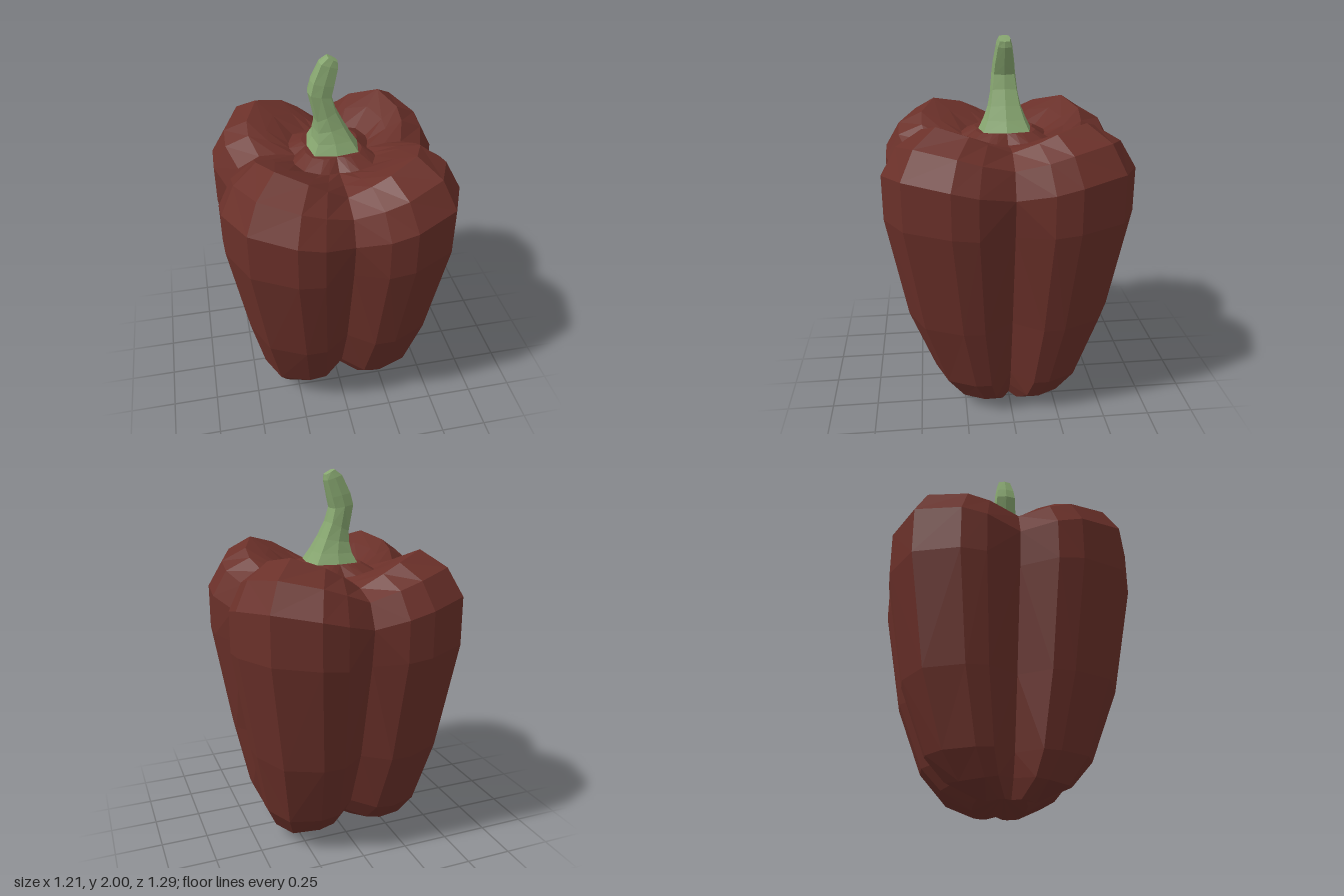
import * as THREE from 'three';

// Skin a stack of closed rings (bottom to top) and cap both ends with fans.
// The quad diagonals alternate by octant so the facets mirror across each lobe.
function loft(name, rings, bottom, top, color) {
  const n = rings[0].length, pos = [];
  const tri = (...pts) => pts.forEach(p => pos.push(...p));
  for (let j = 0; j < n; j++) {
    const k = (j + 1) % n;
    const flip = Math.floor(j * 8 / n) % 2;
    for (let i = 0; i < rings.length - 1; i++) {
      const lo = rings[i], hi = rings[i + 1];
      if (flip) {
        tri(lo[j], hi[j], hi[k]);
        tri(lo[j], hi[k], lo[k]);
      } else {
        tri(lo[j], hi[j], lo[k]);
        tri(lo[k], hi[j], hi[k]);
      }
    }
    const last = rings[rings.length - 1];
    tri(bottom, rings[0][j], rings[0][k]);
    tri(top, last[k], last[j]);
  }
  const geo = new THREE.BufferGeometry();
  geo.setAttribute('position', new THREE.Float32BufferAttribute(pos, 3));
  geo.computeVertexNormals();
  const mesh = new THREE.Mesh(geo, new THREE.MeshStandardMaterial({ color, flatShading: true }));
  mesh.name = name;
  return mesh;
}

// Quarter outline from the side groove to the front groove: x, z, lobe weight
const QUARTER = [
  [0.55, 0, 0], [0.605, 0.18, 0.42], [0.6, 0.31, 0.72], [0.5, 0.54, 1],
  [0.285, 0.643, 0.72], [0.155, 0.643, 0.42], [0, 0.595, 0],
];

// Four-lobed ring; lobes and grooves sit at different heights, and the
// groove line is pulled inwards by its own factor
function lobedRing([sx, sz, yLobe, ySide, yFront, groove]) {
  return Array.from({ length: 24 }, (_, k) => {
    const m = k % 12, q = m <= 6 ? m : 12 - m;
    const [x, z, w] = QUARTER[q];
    const yGroove = q < 3 ? ySide : yFront;
    const pull = w === 0 ? groove : 1;
    return [
      x * sx * pull * (k <= 6 || k >= 18 ? 1 : -1),
      yGroove + (yLobe - yGroove) * w,
      z * sz * pull * (k <= 12 ? 1 : -1),
    ];
  });
}

// Eight-sided stem ring spanning a left and a right edge point, so it can tilt
function stemRing([x0, y0, x1, y1, hz]) {
  return Array.from({ length: 8 }, (_, k) => {
    const a = k * Math.PI / 4, f = k % 2 ? 1.2 : 1;
    const c = Math.cos(a) * f, s = Math.sin(a) * f;
    return [(x0 + x1) / 2 + (x1 - x0) / 2 * c, (y0 + y1) / 2 + (y1 - y0) / 2 * c, hz * s];
  });
}

export function createModel() {
  const group = new THREE.Group();
  group.name = 'bellPepper';

  // Body: scale x, scale z, lobe height, side groove height, front groove height, groove pull
  const body = [
    [0.47, 0.22, 0, 0.01, 0.075, 0.9],
    [0.64, 0.48, 0.07, 0.1, 0.14, 0.83],
    [0.73, 0.64, 0.2, 0.21, 0.24, 0.83],
    [0.85, 0.845, 0.57, 0.57, 0.57, 0.88],
    [1, 1, 1.15, 1.11, 1.1, 0.94],
    [1, 1, 1.4, 1.3, 1.29, 0.98],
    [0.88, 0.88, 1.54, 1.43, 1.41, 1],
    [0.68, 0.68, 1.62, 1.49, 1.455, 1],
    [0.52, 0.52, 1.565, 1.49, 1.465, 1],
    // moat and mound around the stem
    [0.345, 0.35, 1.49, 1.475, 1.47, 1],
    [0.24, 0.24, 1.525, 1.525, 1.525, 1],
  ].map(lobedRing);
  group.add(loft('pepperBody', body, [0, 0.07, 0], [0, 1.525, 0], 0x6a3029));

  // Stem: left edge x, y, right edge x, y, half depth
  const stem = [
    [-0.13, 1.52, 0.137, 1.525, 0.14],
    [-0.1, 1.575, 0.1, 1.58, 0.112],
    [-0.09, 1.625, 0.06, 1.65, 0.088],
    [-0.088, 1.68, 0.02, 1.73, 0.073],
    [-0.118, 1.82, 0, 1.8, 0.062],
    [-0.103, 1.88, 0.014, 1.855, 0.056],
    [-0.06, 1.97, 0.034, 1.94, 0.041],
    [-0.02, 1.998, 0.031, 1.97, 0.03],
  ].map(stemRing);
  group.add(loft('stem', stem, [0, 1.5, 0], [0.004, 1.986, 0], 0x86a56f));

  return group;
}
